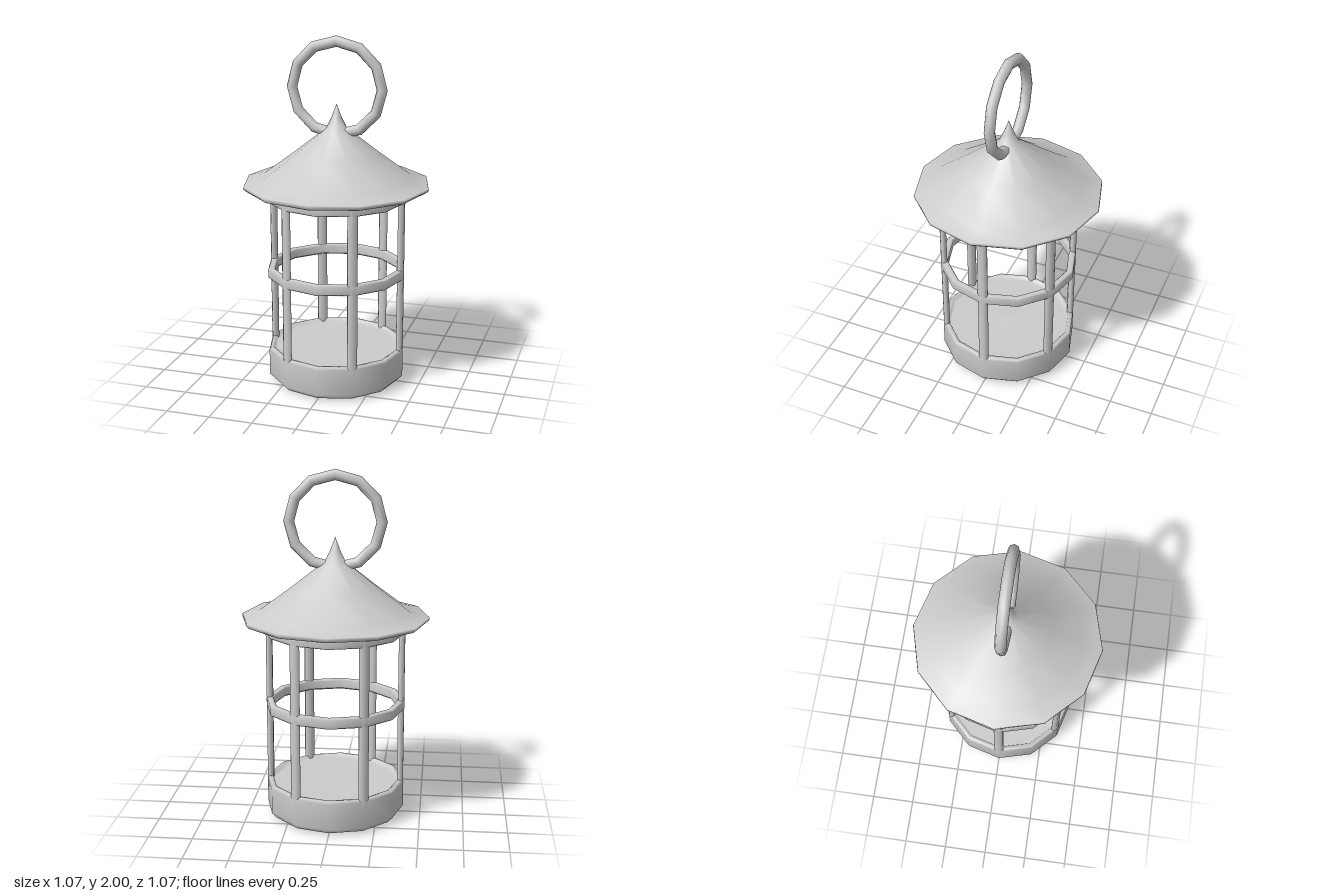
import * as THREE from 'three';

const SIDES = 12;
const material = new THREE.MeshStandardMaterial({ color: 0xcccccc });

function addMesh(parent, name, geometry) {
  const mesh = new THREE.Mesh(geometry, material);
  mesh.name = name;
  parent.add(mesh);
  return mesh;
}

// Twelve-sided turned part from [radius, height] pairs
function turned(profile) {
  return new THREE.LatheGeometry(profile.map(([r, y]) => new THREE.Vector2(r, y)), SIDES);
}

// Closed hoop with slightly bevelled edges
function hoop(inner, outer, bottom, top, bevel) {
  return turned([
    [inner, bottom + bevel], [inner + bevel, bottom], [outer - bevel, bottom], [outer, bottom + bevel],
    [outer, top - bevel], [outer - bevel, top], [inner + bevel, top], [inner, top - bevel], [inner, bottom + bevel],
  ]);
}

export function createModel() {
  const lantern = new THREE.Group();
  lantern.name = 'lantern';

  // Base cup with a chamfered foot, a narrow rim and a shallow floor
  addMesh(lantern, 'base', turned([
    [0, 0], [0.35, 0], [0.37, 0.008], [0.4, 0.04], [0.4, 0.19], [0.392, 0.205],
    [0.37, 0.205], [0.36, 0.18], [0, 0.195],
  ]));

  // Six upright bars
  const posts = new THREE.Group();
  posts.name = 'posts';
  lantern.add(posts);
  const postShape = new THREE.CylinderGeometry(0.5, 0.5, 0.96, 8, 1, true);
  postShape.rotateY(Math.PI / 8);
  postShape.scale(0.038, 1, 0.06);
  for (let i = 0; i < 6; i++) {
    const angle = (i * Math.PI) / 3;
    const post = addMesh(posts, 'post', postShape);
    post.position.set(0.38 * Math.cos(angle), 0.65, -0.38 * Math.sin(angle));
    post.rotation.y = angle;
  }

  // Hoops around the bars
  addMesh(lantern, 'middleHoop', hoop(0.36, 0.4, 0.63, 0.69, 0.008));
  addMesh(lantern, 'topHoop', hoop(0.36, 0.4, 1.08, 1.14, 0.008));

  // Roof: stepped cornice, flared eave and pointed tip
  addMesh(lantern, 'roof', turned([
    [0.37, 1.125], [0.42, 1.128], [0.45, 1.14], [0.455, 1.152], [0.52, 1.152], [0.533, 1.165],
    [0.53, 1.178], [0.43, 1.2], [0.25, 1.335], [0.06, 1.485], [0.03, 1.545], [0, 1.625],
  ]));

  // Hollow underside of the roof
  addMesh(lantern, 'ceiling', turned([[0, 1.46], [0.365, 1.175], [0.37, 1.125]]));

  // Carrying ring through the tip
  const ring = addMesh(lantern, 'carryingRing', new THREE.TorusGeometry(0.26, 0.031, 8, SIDES));
  ring.position.y = 1.709;

  return lantern;
}
